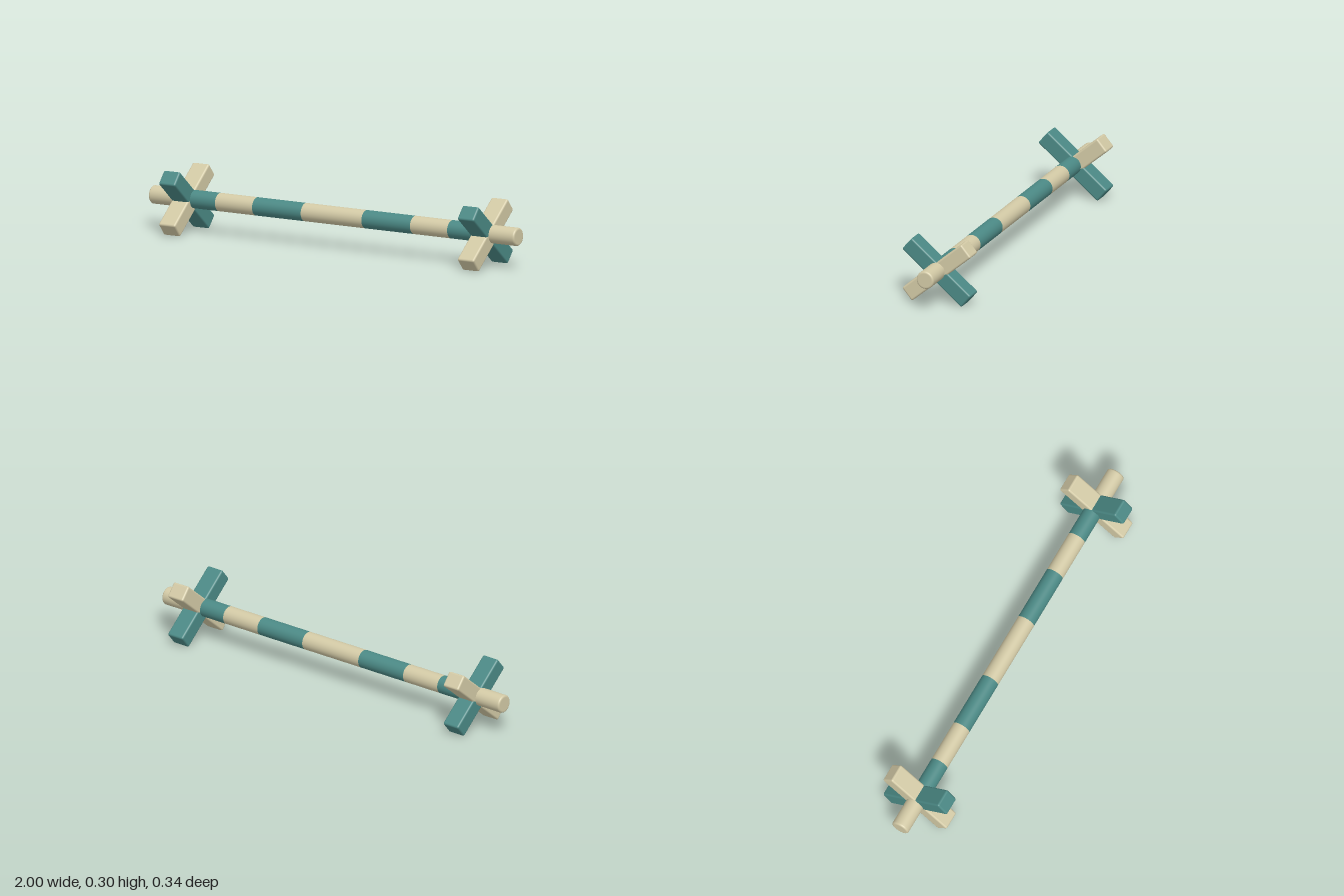
import * as THREE from 'three';
import { RoundedBoxGeometry } from 'three/addons/geometries/RoundedBoxGeometry.js';

const cream = new THREE.MeshStandardMaterial({ color: 0xd2c9a5 });
const teal = new THREE.MeshStandardMaterial({ color: 0x4b8985 });

const POLE_R = 0.0425, POLE_Y = 0.155, BEVEL = 0.009;
const CROSS_X = 0.817, CROSS_Y = 0.1485, TILT = THREE.MathUtils.degToRad(40);

function add(parent, name, geometry, material) {
  const mesh = new THREE.Mesh(geometry, material);
  mesh.name = name;
  parent.add(mesh);
  return mesh;
}

// End piece of the pole, from x = start to x = 1, with a softly rounded rim
function poleEnd(start) {
  const points = [new THREE.Vector2(POLE_R, start), new THREE.Vector2(POLE_R, 0.98)];
  for (let i = 0; i <= 5; i++) {
    const a = (i / 5) * Math.PI / 2;
    points.push(new THREE.Vector2(POLE_R - BEVEL + BEVEL * Math.cos(a), 1 - BEVEL + BEVEL * Math.sin(a)));
  }
  points.push(new THREE.Vector2(POLE_R - BEVEL - 0.002, 1), new THREE.Vector2(0, 1));
  return new THREE.LatheGeometry(points, 40).rotateZ(-Math.PI / 2);
}

export function createModel() {
  const model = new THREE.Group();
  model.name = 'jumpPole';

  // Striped round pole
  const pole = new THREE.Group();
  pole.name = 'pole';
  pole.position.y = POLE_Y;
  model.add(pole);

  const edges = [-0.817, -0.635, -0.432, -0.166, 0.166, 0.432, 0.635, 0.817];
  for (let i = 0; i < edges.length - 1; i++) {
    const length = edges[i + 1] - edges[i];
    const geometry = new THREE.CylinderGeometry(POLE_R, POLE_R, length, 40, 1, true).rotateZ(-Math.PI / 2);
    const stripe = add(pole, 'poleStripe', geometry, i % 2 ? cream : teal);
    stripe.position.x = (edges[i] + edges[i + 1]) / 2;
  }
  add(pole, 'leftPoleEnd', poleEnd(CROSS_X), cream);
  add(pole, 'rightPoleEnd', poleEnd(CROSS_X), cream).rotation.y = Math.PI;

  // Crossed feet near each end
  for (const side of [1, -1]) {
    const cross = new THREE.Group();
    cross.name = side > 0 ? 'leftCross' : 'rightCross';
    cross.position.set(side * CROSS_X, CROSS_Y, 0);
    model.add(cross);
    // The cream beam is a hair thicker so the faces at the crossing do not coincide
    const creamBeam = new RoundedBoxGeometry(0.0905, 0.076, 0.384, 3, 0.009);
    const tealBeam = new RoundedBoxGeometry(0.09, 0.076, 0.384, 3, 0.009);
    add(cross, 'creamBeam', creamBeam, cream).rotation.x = TILT;
    add(cross, 'tealBeam', tealBeam, teal).rotation.x = -TILT;
  }
  return model;
}
